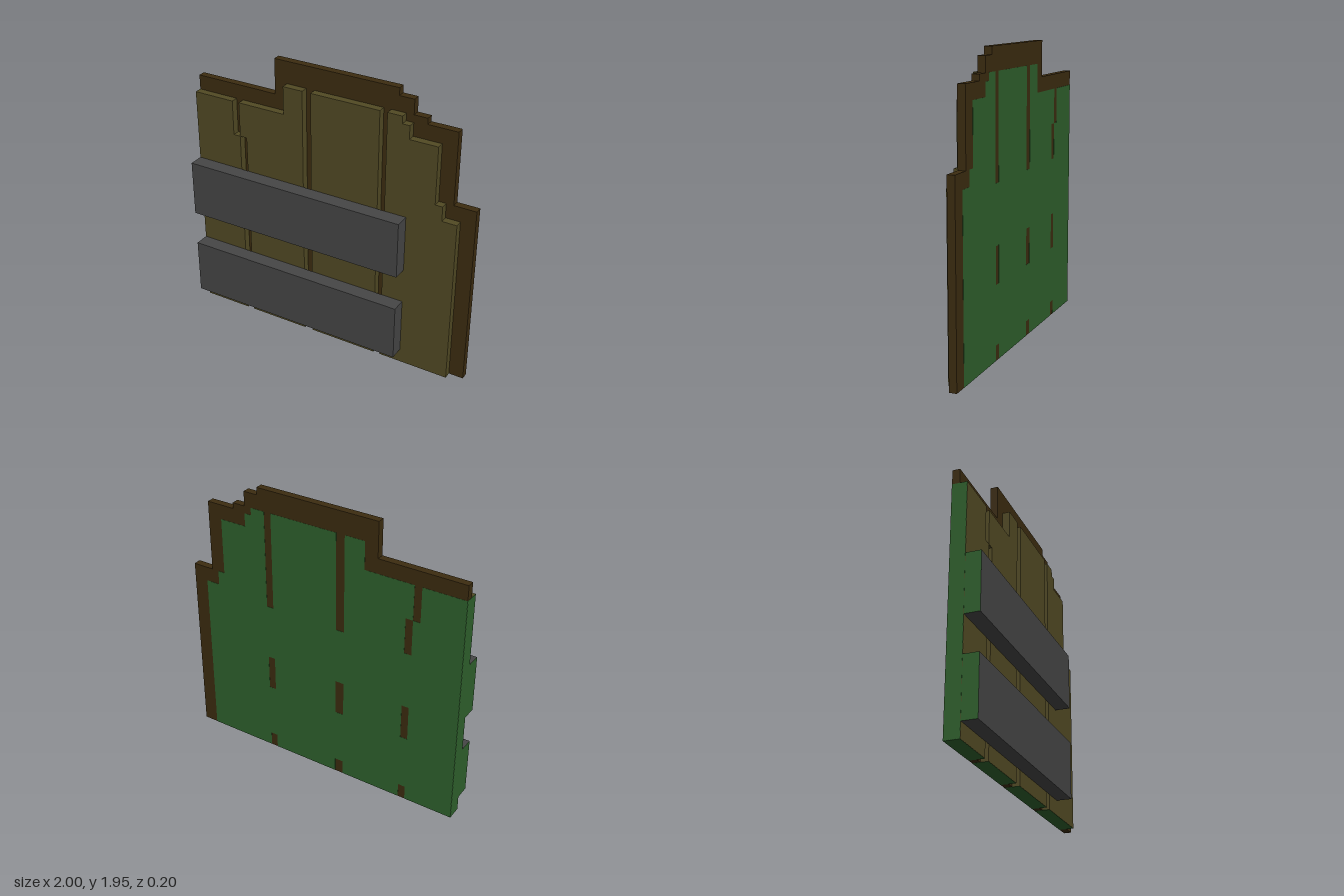
import * as THREE from 'three';

const material = (name, color) => {
  const m = new THREE.MeshStandardMaterial({ color });
  m.name = name;
  return m;
};

export function createModel() {
  const group = new THREE.Group();
  const darkWood = material('dark brown wood', 0x3c2c10);
  const wood = material('olive wood', 0x524a24);
  const metal = material('grey metal', 0x464646);
  const green = material('green backing', 0x2f612d);
  const EPS = 0.001;

  const add = (name, geometry, mat, x = 0, y = 0, z = 0) => {
    const mesh = new THREE.Mesh(geometry, mat);
    mesh.name = name;
    mesh.position.set(x, y, z);
    group.add(mesh);
    return mesh;
  };
  const shape = (pts) => new THREE.Shape(pts.map(([x, y]) => new THREE.Vector2(x, y)));
  const slab = (pts, depth) => new THREE.ExtrudeGeometry(shape(pts), { depth, bevelEnabled: false });
  const rect = (x0, x1, y0, y1) => [[x0, y0], [x1, y0], [x1, y1], [x0, y1]];

  // Stepped panel behind the planks
  add('backPanel', slab([
    [-1, 0], [1, 0], [1, 1.27], [0.85, 1.27], [0.85, 1.76], [0.65, 1.76], [0.65, 1.8], [0.56, 1.8],
    [0.56, 1.9], [0.46, 1.9], [0.46, 1.95], [-0.41, 1.95], [-0.41, 1.71], [-1, 1.71],
  ], 0.05), darkWood, 0, 0, -0.1);

  // Four planks, each with its green back and underside
  const planks = [
    [[-1, 0], [-0.66, 0], [-0.66, 1.37], [-0.71, 1.37], [-0.71, 1.61], [-1, 1.61]],
    [[-0.61, 0], [-0.18, 0], [-0.18, 1.8], [-0.32, 1.8], [-0.32, 1.61], [-0.66, 1.61], [-0.66, 1.37], [-0.61, 1.37]],
    rect(-0.12, 0.36, 0, 1.8),
    [[0.41, 0], [0.9, 0], [0.9, 1.17], [0.8, 1.17], [0.8, 1.27], [0.75, 1.27], [0.75, 1.66], [0.56, 1.66],
      [0.56, 1.75], [0.51, 1.75], [0.51, 1.8], [0.41, 1.8]],
  ];
  const backFace = (name, pts) =>
    add(name, slab(pts, 0.002), green, 0, 0, -0.1 - EPS);
  planks.forEach((pts, i) => {
    add(`plank${i + 1}`, slab(pts, 0.05), wood, 0, 0, -0.05);
    backFace(`plankBacking${i + 1}`, pts);
    const [x0, x1] = [pts[0][0], pts[1][0]];
    add(`plankUnderside${i + 1}`, new THREE.BoxGeometry(x1 - x0, 0.002, 0.098), green, (x0 + x1) / 2, 0, -0.05);
  });

  // Green edge on the straight side
  add('sideEdge', new THREE.BoxGeometry(0.002, 1.61, 0.098), green, -1, 0.805, -0.05);

  // Two crossbars, with green backing where they bridge the plank gaps
  [[0.1, 0.49], [0.735, 1.125]].forEach(([y0, y1], i) => {
    add(`crossbar${i + 1}`, new THREE.BoxGeometry(1.56, y1 - y0, 0.1),
      [metal, green, metal, metal, metal, metal], -0.22, (y0 + y1) / 2, 0.05);
    [[-0.66, -0.61], [-0.18, -0.12], [0.36, 0.41]].forEach(([x0, x1], j) =>
      backFace(`gapBacking${i + 1}${j + 1}`, rect(x0, x1, y0, y1)));
  });

  return group;
}
